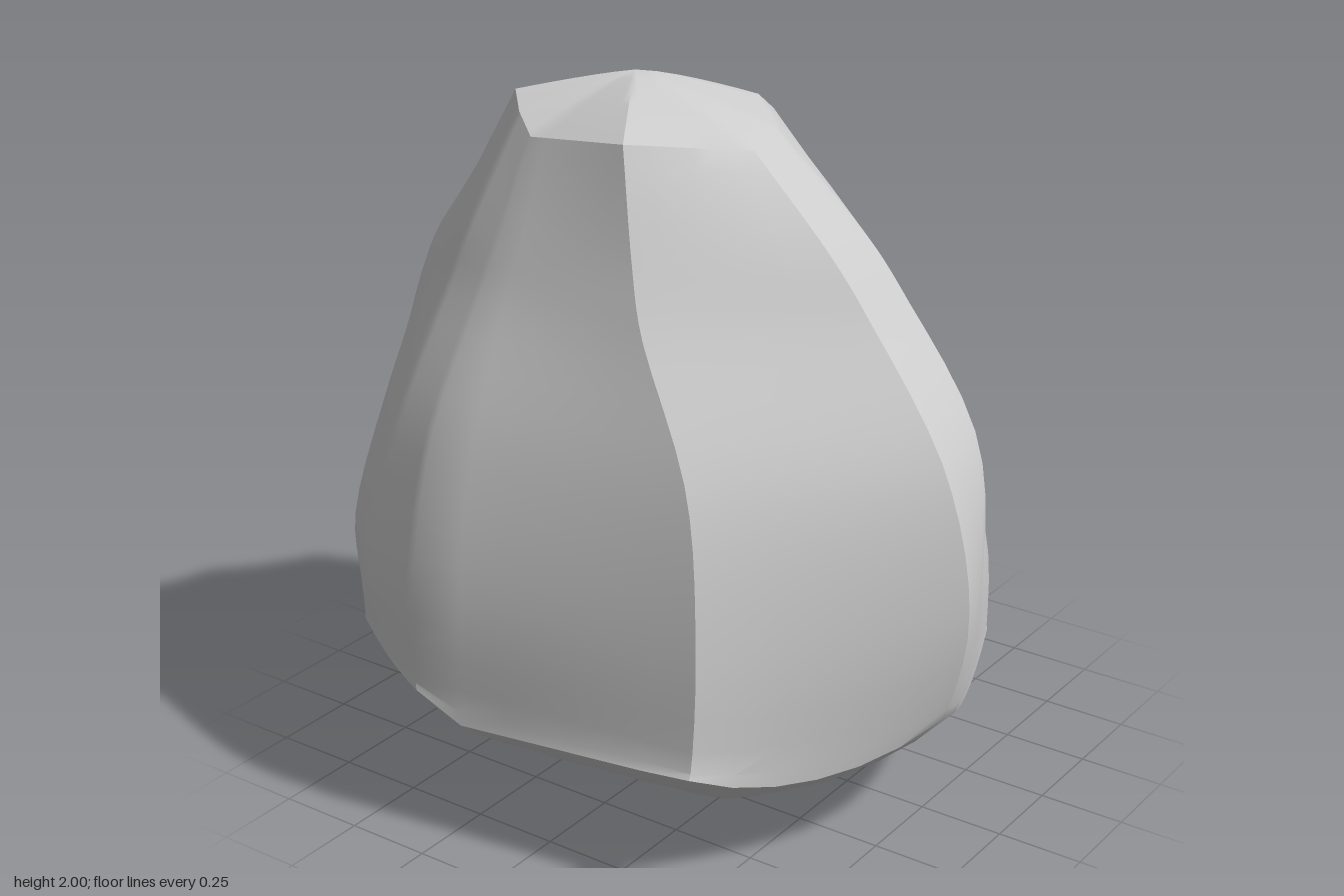
import * as THREE from 'three';
import { toCreasedNormals } from 'three/addons/utils/BufferGeometryUtils.js';

// Vertical ridges, counterclockwise from the front nose.
// Each holds x, z at the fixed heights, then x, z and y at the top rim.
const HEIGHTS = [0.4, 0.75, 1.1, 1.45, 1.6];
const RIDGES = [
  [-0.14, 0.88, -0.12, 0.94, -0.11, 0.85, -0.06, 0.57, -0.05, 0.44, -0.03, 0.18, 1.84],
  [-0.01, 0.85, 0.03, 0.89, 0.13, 0.81, 0.17, 0.54, 0.17, 0.41, 0.14, 0.14, 1.85],
  [0.47, 0.68, 0.45, 0.67, 0.42, 0.51, 0.39, 0.32, 0.37, 0.21, 0.33, -0.05, 1.88],
  [0.87, 0.13, 0.84, 0.14, 0.74, 0.13, 0.60, 0.08, 0.56, 0.01, 0.50, -0.11, 1.79],
  [0.60, -0.47, 0.58, -0.45, 0.55, -0.39, 0.48, -0.36, 0.46, -0.35, 0.43, -0.36, 1.72],
  [0.15, -0.86, 0.15, -0.87, 0.14, -0.81, 0.11, -0.73, 0.12, -0.68, 0.14, -0.53, 1.74],
  [-0.35, -0.88, -0.34, -0.93, -0.30, -0.88, -0.20, -0.82, -0.16, -0.74, -0.12, -0.59, 1.84],
  [-0.60, -0.79, -0.60, -0.81, -0.48, -0.77, -0.34, -0.70, -0.29, -0.65, -0.22, -0.48, 1.95],
  [-0.78, -0.62, -0.77, -0.62, -0.65, -0.59, -0.47, -0.54, -0.41, -0.51, -0.28, -0.42, 1.91],
  [-0.87, -0.36, -0.84, -0.38, -0.71, -0.41, -0.51, -0.39, -0.44, -0.37, -0.32, -0.35, 1.86],
  [-0.76, 0.48, -0.70, 0.46, -0.61, 0.37, -0.48, 0.13, -0.42, 0.06, -0.32, -0.04, 1.89],
];
const EDGE = 6, BOWL = 10, WALL = 24, CAP = 6;

// Rounded underside, lowest left of centre, with a sloping flat on one flank
function bowl(x, z) {
  const r2 = (x + 0.04) ** 2 + z ** 2;
  return Math.max(0.4 * r2 + 0.2 * r2 ** 4, 0.03 + 0.75 * (-x - 0.4) + 0.12 * z);
}

function ridgeCurve(r) {
  const pts = HEIGHTS.map((y, i) => new THREE.Vector3(r[2 * i], i ? y : bowl(r[0], r[1]), r[2 * i + 1]));
  pts.push(new THREE.Vector3(r[10], r[12], r[11]));
  return new THREE.CatmullRomCurve3(pts, false, 'centripetal');
}

// Closed ring of points across all ridges at position t up the walls
function wallRing(curves, t) {
  const ring = [];
  const corners = curves.map((c) => c.getPoint(t));
  corners.forEach((a, i) => {
    const b = corners[(i + 1) % corners.length];
    for (let k = 0; k < EDGE; k++) {
      const p = a.clone().lerp(b, k / EDGE);
      p.y += (bowl(p.x, p.z) - p.y) * (1 - t) ** 8;
      ring.push(p);
    }
  });
  return ring;
}

function rockGeometry() {
  const curves = RIDGES.map(ridgeCurve);
  const base = wallRing(curves, 0), rim = wallRing(curves, 1);
  const peak = new THREE.Vector3(-0.02, 2, -0.22);
  const rows = [];
  // Underside, from its lowest point out
  for (let i = 0; i < BOWL; i++) {
    const s = i / BOWL;
    rows.push(base.map((p) => {
      const x = p.x * s - 0.04 * (1 - s), z = p.z * s;
      return new THREE.Vector3(x, bowl(x, z), z);
    }));
  }
  // Walls
  for (let i = 0; i <= WALL; i++) rows.push(wallRing(curves, i / WALL));
  // Crown, from the rim in to the peak
  for (let i = CAP - 1; i >= 0; i--) {
    const s = i / CAP;
    rows.push(rim.map((p) => {
      const q = peak.clone().lerp(p, s);
      q.y = 2 - (2 - p.y) * s ** 1.25;
      return q;
    }));
  }

  const n = base.length, last = rows.length - 1;
  const position = rows.flat().flatMap((p) => [p.x, p.y, p.z]);
  const index = [];
  for (let j = 0; j < last; j++) {
    for (let i = 0; i < n; i++) {
      const a = j * n + i, b = j * n + (i + 1) % n;
      // The first and last rows meet in a point, so they take one triangle each
      if (j < last - 1) index.push(a, b + n, a + n);
      if (j === last - 1) index.push(a, b, a + n);
      else if (j > 0) index.push(a, b, b + n);
    }
  }
  const geo = new THREE.BufferGeometry();
  geo.setAttribute('position', new THREE.Float32BufferAttribute(position, 3));
  geo.setIndex(index);
  return toCreasedNormals(geo, 0.5);
}

export function createModel() {
  const group = new THREE.Group();
  group.name = 'rock';
  const boulder = new THREE.Mesh(rockGeometry(), new THREE.MeshStandardMaterial({ color: 0xcccccc }));
  boulder.name = 'boulder';
  group.add(boulder);
  return group;
}
